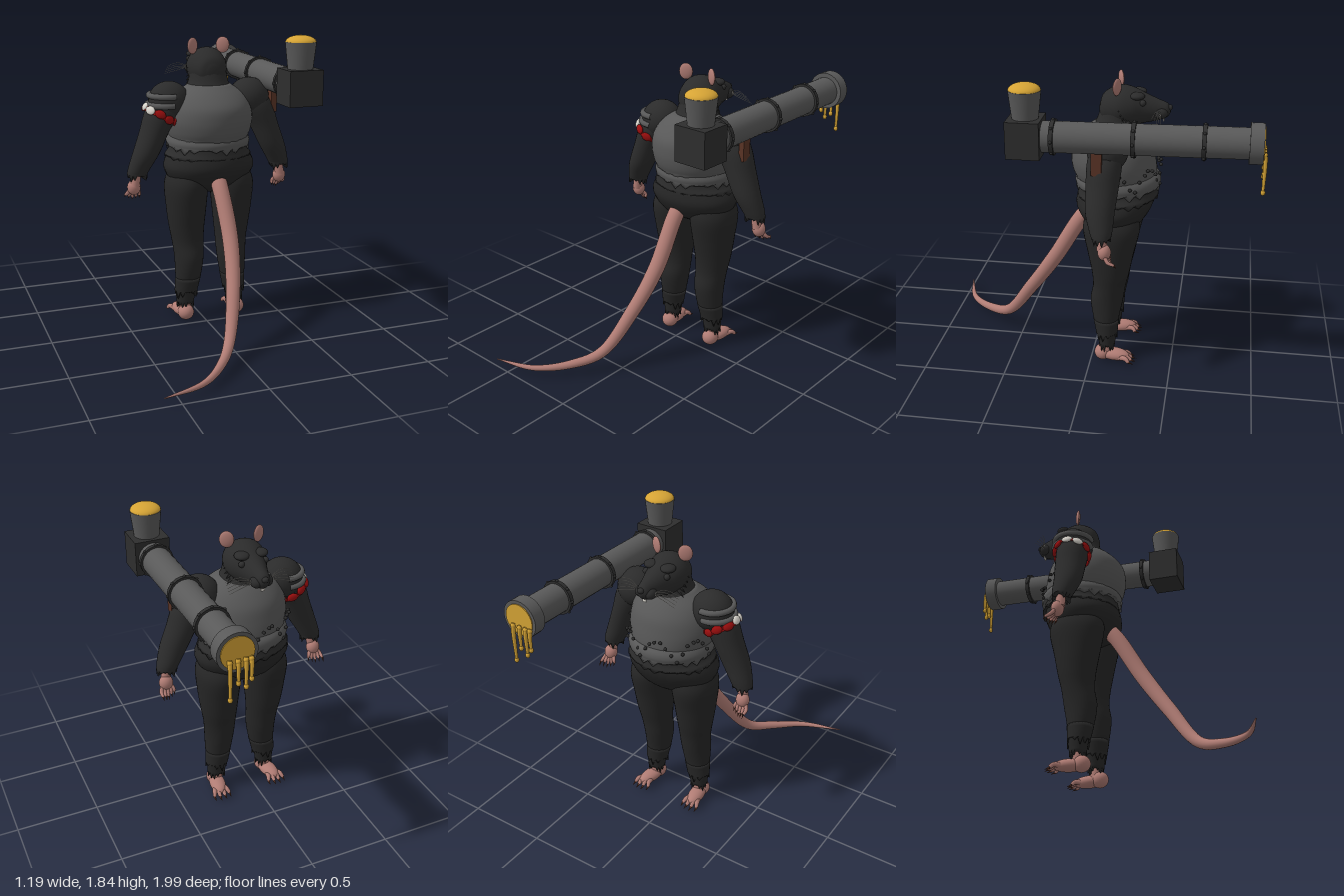
import * as THREE from 'three';

const mat = (name, color) => Object.assign(new THREE.MeshStandardMaterial({ color }), { name });
const M = {
  fur: mat('dark fur', 0x2b2b2b),
  cloth: mat('black cloth', 0x262626),
  shirt: mat('grey shirt', 0x585858),
  steel: mat('grey steel', 0x595959),
  iron: mat('black iron', 0x2e2e2e),
  skin: mat('pink skin', 0xb07c74),
  cheese: mat('cheese yellow', 0xd6a435),
  red: mat('red band', 0x9a0e0e),
  white: mat('off white', 0xd8d4cc),
  brown: mat('brown leather', 0x5a3426),
};
const CX = 0.055; // centre line of the body

// Smooth stack of ellipses [x, y, z, rx, rz] with rising y; jag gives a torn lower hem
function loft(rows, { n = 32, steps = 5, jag = 0 } = {}) {
  const V = (a) => new THREE.CatmullRomCurve3(a, false, 'catmullrom', 0.5);
  const mid = V(rows.map((r) => new THREE.Vector3(r[0], r[1], r[2])));
  const rad = V(rows.map((r) => new THREE.Vector3(r[3], r[4], 0)));
  const m = (rows.length - 1) * steps, pos = [], idx = [];
  for (let i = 0; i <= m; i++) {
    const c = mid.getPoint(i / m), r = rad.getPoint(i / m);
    for (let j = 0; j < n; j++) {
      const a = (j / n) * Math.PI * 2;
      const drop = i === 0 ? jag * (0.5 + 0.5 * Math.sin(j * 2.4)) * (j % 2) : 0;
      pos.push(c.x + r.x * Math.cos(a), c.y - drop, c.z + r.y * Math.sin(a));
      const k = (j + 1) % n, p = i * n, q = p + n;
      if (i < m) idx.push(p + j, q + j, p + k, p + k, q + j, q + k);
    }
  }
  const lo = rows[0], hi = rows.at(-1), b = (m + 1) * n;
  pos.push(lo[0], lo[1], lo[2], hi[0], hi[1], hi[2]);
  for (let j = 0; j < n; j++) {
    const k = (j + 1) % n;
    idx.push(b, j, k, b + 1, m * n + k, m * n + j);
  }
  const g = new THREE.BufferGeometry();
  g.setAttribute('position', new THREE.Float32BufferAttribute(pos, 3));
  g.setIndex(idx);
  g.computeVertexNormals();
  return g;
}

// Tube along points whose radius runs through a list of values
function taper(points, radii, segs = 24, sides = 12) {
  const curve = new THREE.CatmullRomCurve3(points.map((p) => new THREE.Vector3(...p)));
  const g = new THREE.TubeGeometry(curve, segs, 1, sides), p = g.attributes.position;
  const v = new THREE.Vector3();
  for (let i = 0; i <= segs; i++) {
    const t = (i / segs) * (radii.length - 1), k = Math.min(Math.floor(t), radii.length - 2);
    const r = THREE.MathUtils.lerp(radii[k], radii[k + 1], t - k), c = curve.getPointAt(i / segs);
    for (let j = 0; j <= sides; j++) {
      const q = i * (sides + 1) + j;
      v.fromBufferAttribute(p, q).sub(c).multiplyScalar(r).add(c);
      p.setXYZ(q, v.x, v.y, v.z);
    }
  }
  return g;
}

export function createModel() {
  const root = new THREE.Group();
  const add = (name, geo, m, pos = [0, 0, 0], rot = [0, 0, 0], scale = [1, 1, 1], parent = root) => {
    const mesh = new THREE.Mesh(geo, m);
    mesh.name = name;
    mesh.position.set(...pos);
    mesh.rotation.set(...rot);
    mesh.scale.set(...scale);
    parent.add(mesh);
    return mesh;
  };
  const ball = (name, m, pos, r, rot) => add(name, new THREE.SphereGeometry(1, 24, 16), m, pos, rot, r);

  // Trunk
  add('hips', loft([[CX, .85, -.13, .09, .09], [CX, .91, -.12, .23, .17], [CX, 1, -.12, .288, .225],
    [CX, 1.07, -.13, .27, .235], [CX, 1.1, -.13, .24, .22]]), M.cloth);
  add('underShirt', loft([[CX, 1.08, -.14, .275, .243], [CX, 1.12, -.14, .245, .235], [CX, 1.18, -.14, .235, .23]],
    { n: 48, jag: .025 }), M.fur);
  add('shirtHem', loft([[CX, 1.14, -.14, .258, .25], [CX, 1.17, -.14, .262, .256], [CX, 1.2, -.14, .252, .248],
    [CX, 1.23, -.13, .235, .23]], { n: 48, jag: .035 }), M.shirt);
  add('shirt', loft([[CX, 1.19, -.13, .245, .24], [CX, 1.24, -.12, .26, .25], [CX, 1.31, -.11, .268, .25],
    [CX, 1.39, -.105, .252, .235], [CX, 1.46, -.11, .21, .185], [CX, 1.52, -.12, .13, .12]], { n: 48, jag: .03 }), M.shirt);
  add('neck', loft([[CX, 1.47, -.12, .165, .15], [CX, 1.53, -.13, .125, .12], [CX, 1.62, -.14, .11, .1]],
    { n: 40, jag: .03 }), M.fur);

  // Loose specks around the front of the shirt
  for (let i = 0; i < 26; i++) {
    const a = Math.PI * (1.02 + .96 * (i / 25)), y = 1.15 + .13 * Math.abs(Math.sin(i * 2.7));
    const k = 1 + .06 * Math.abs(Math.sin(i * 1.9));
    ball('speck', M.fur, [CX + .262 * k * Math.cos(a), y, -.13 + .252 * k * Math.sin(a)], [.011, .01, .011]);
  }

  // Head, lofted from the nape to the snout
  add('head', loft([[CX, .03, 1.6, .03, .03], [CX, .055, 1.605, .085, .085], [CX, .14, 1.615, .122, .122],
    [CX, .22, 1.615, .112, .112], [CX, .29, 1.608, .08, .088], [CX, .37, 1.6, .052, .062],
    [CX, .42, 1.6, .036, .042], [CX, .44, 1.6, .012, .015]]), M.fur, [0, 0, 0], [-Math.PI / 2, 0, 0]);
  ball('nose', M.iron, [CX, 1.615, -.435], [.02, .017, .016]);
  add('teeth', new THREE.BoxGeometry(.024, .035, .006), M.white, [CX, 1.55, -.402]);
  for (const s of [-1, 1]) {
    ball('muzzlePad', M.fur, [CX + s * .03, 1.587, -.385], [.036, .034, .042]);
    ball('brow', M.fur, [CX + s * .055, 1.69, -.25], [.045, .022, .045]);
    ball('eye', M.iron, [CX + s * .072, 1.655, -.285], [.018, .018, .018]);
    ball('ear', M.skin, [CX + s * .098, 1.75, -.14], [.042, .05, .014], [0, s * -.45, 0]);
    for (let i = 0; i < 5; i++) {
      const y = 1.555 + i * .013;
      add('whisker', taper([[CX + s * .04, 1.59, -.39], [CX + s * .12, y + .015, -.39 + i * .006],
        [CX + s * .2, y - .005, -.4 + i * .013]], [.002, .001], 6, 5), M.white);
    }
    for (let i = 0; i < 5; i++)
      add('cheekTuft', new THREE.ConeGeometry(.02, .07, 6), M.fur,
        [CX + s * .1, 1.53 + i * .022, -.2 + .012 * i], [0, 0, s * -(2.4 - i * .18)]);
  }

  // Limbs
  for (const s of [-1, 1]) {
    const X = (d) => CX + s * d;
    ball('shoulder', M.fur, [X(.262), 1.425, -.11], [.128, .122, .118]);
    add('sleeve', loft([[X(.472), .985, -.105, .062, .056], [X(.455), 1.03, -.1, .07, .068], [X(.415), 1.12, -.09, .083, .084],
      [X(.36), 1.25, -.095, .092, .094], [X(.305), 1.37, -.1, .11, .1], [X(.27), 1.46, -.11, .09, .085]],
      { n: 28, jag: .04 }), M.fur);
    // Hand with four fingers and a thumb
    add('wrist', new THREE.CylinderGeometry(.028, .03, .09, 14), M.skin, [X(.478), .955, -.11], [0, 0, s * .15]);
    ball('palm', M.skin, [X(.487), .9, -.125], [.042, .048, .038]);
    for (let i = 0; i < 5; i++) {
      const f = i - 2, tip = [X(.487 + f * .02), .828 + Math.abs(f) * .006, -.165 - .01 * f];
      add('finger', taper([[X(.487 + f * .012), .885, -.13], [X(.487 + f * .02), .855, -.15], tip], [.013, .012, .008], 8, 8), M.skin);
      add('claw', new THREE.ConeGeometry(.007, .03, 8), M.brown, [tip[0], tip[1] - .008, tip[2] - .006], [Math.PI + .5, 0, 0]);
    }
    add('trouserLeg', loft([[X(.168), .12, -.1, .056, .05], [X(.162), .2, -.1, .067, .06], [X(.15), .3, -.092, .082, .08],
      [X(.143), .42, -.095, .092, .1], [X(.145), .52, -.11, .1, .1], [X(.15), .62, -.118, .112, .115],
      [X(.152), .75, -.118, .126, .14], [X(.15), .9, -.12, .135, .17], [X(.13), 1, -.12, .12, .15]], { jag: .05 }), M.cloth);
    add('cuff', loft([[X(.162), .2, -.098, .074, .067], [X(.15), .29, -.092, .082, .08]], { n: 26, jag: .05 }), M.cloth);
    // Foot with spread, clawed toes
    add('ankle', new THREE.CylinderGeometry(.035, .04, .11, 16), M.skin, [X(.17), .1, -.1]);
    ball('heel', M.skin, [X(.172), .055, -.075], [.052, .05, .053]);
    ball('foot', M.skin, [X(.18), .05, -.145], [.05, .038, .1], [0, s * -.15, 0]);
    for (let i = 0; i < 4; i++) {
      const f = i - 1.5, tx = X(.19 + f * .034), tz = -.262 + Math.abs(f) * .012;
      add('toe', taper([[X(.185 + f * .018), .045, -.18], [X(.19 + f * .028), .048, -.225], [tx, .03, tz]], [.018, .016, .011], 8, 8), M.skin);
      add('toeClaw', new THREE.ConeGeometry(.008, .035, 8), M.brown, [tx, .024, tz - .016], [-Math.PI / 2 - .3, 0, 0]);
    }
  }

  // Tail
  add('tail', taper([[.058, 1, -.03], [.058, .92, .065], [.06, .62, .25], [.012, .37, .42], [-.08, .13, .6], [-.19, .075, .76],
    [-.35, .055, .91], [-.6, .053, .995]], [.05, .05, .05, .048, .044, .04, .034, .028, .021, .014, .003], 60, 18), M.skin);

  // Torn cloth strips and armband on the right arm
  for (const [y, x] of [[1.465, -.215], [1.41, -.225]])
    add('shoulderStrip', new THREE.TorusGeometry(.113, .018, 10, 30, Math.PI * 1.1), M.shirt, [x, y, -.11],
      [Math.PI / 2, 0, Math.PI * .45]);
  const band = new THREE.Group();
  band.name = 'armband';
  band.position.set(-.268, 1.345, -.1);
  band.rotation.z = -.5;
  root.add(band);
  for (let i = 0; i < 10; i++) {
    const a = (i / 10) * Math.PI * 2, onOuter = i === 5;
    add('bandFold', new THREE.SphereGeometry(1, 14, 10), onOuter || i === 4 ? M.white : M.red,
      [.108 * Math.cos(a), .006 * (i % 2), .108 * Math.sin(a)], [0, -a, 0], [.014, .026, .034], band);
  }
  add('bandStrap', new THREE.CylinderGeometry(.112, .112, .03, 28, 1, true), M.red, [0, 0, 0], [0, 0, 0], [1, 1, 1], band);

  // Shoulder cannon
  const GX = .46, flat = [Math.PI / 2, 0, 0];
  add('barrel', new THREE.CylinderGeometry(.088, .086, 1.14, 28), M.steel, [GX, 1.55, -.34], [Math.PI / 2 + .015, 0, 0]);
  for (const z of [.17, -.275, -.655]) {
    const y = 1.545 - z * .015;
    add('barrelRing', new THREE.CylinderGeometry(.1, .1, .024, 28), M.iron, [GX, y, z], flat);
    for (let i = 0; i < 8; i++) {
      const a = (i / 8) * Math.PI * 2;
      ball('rivet', M.iron, [GX + .1 * Math.cos(a), y + .1 * Math.sin(a), z], [.009, .009, .009]);
    }
  }
  add('muzzle', new THREE.CylinderGeometry(.112, .112, .075, 28), M.steel, [GX, 1.56, -.93], flat);
  add('muzzleCheese', new THREE.CylinderGeometry(.092, .092, .008, 28), M.cheese, [GX, 1.56, -.969], flat);
  for (const [x, low] of [[.388, 1.4], [.418, 1.36], [.46, 1.39], [.505, 1.3]]) {
    add('drip', taper([[x, 1.53, -.97], [x, 1.5, -.978], [x, low, -.978]], [.013, .011, .008], 10, 10), M.cheese);
    ball('dripTip', M.cheese, [x, low, -.978], [.013, .017, .013]);
    ball('dripTop', M.cheese, [x, 1.515, -.975], [.015, .016, .014]);
  }
  add('breechBox', new THREE.BoxGeometry(.21, .21, .19), M.iron, [GX, 1.54, .325]);
  add('hopper', new THREE.CylinderGeometry(.092, .074, .16, 28), M.steel, [GX, 1.722, .325]);
  add('cheeseHeap', new THREE.SphereGeometry(.09, 28, 10, 0, Math.PI * 2, 0, Math.PI / 2), M.cheese, [GX, 1.8, .325], [0, 0, 0], [1, .45, 1]);
  add('grip', new THREE.BoxGeometry(.035, .15, .06), M.brown, [GX, 1.405, -.068]);

  return root;
}
